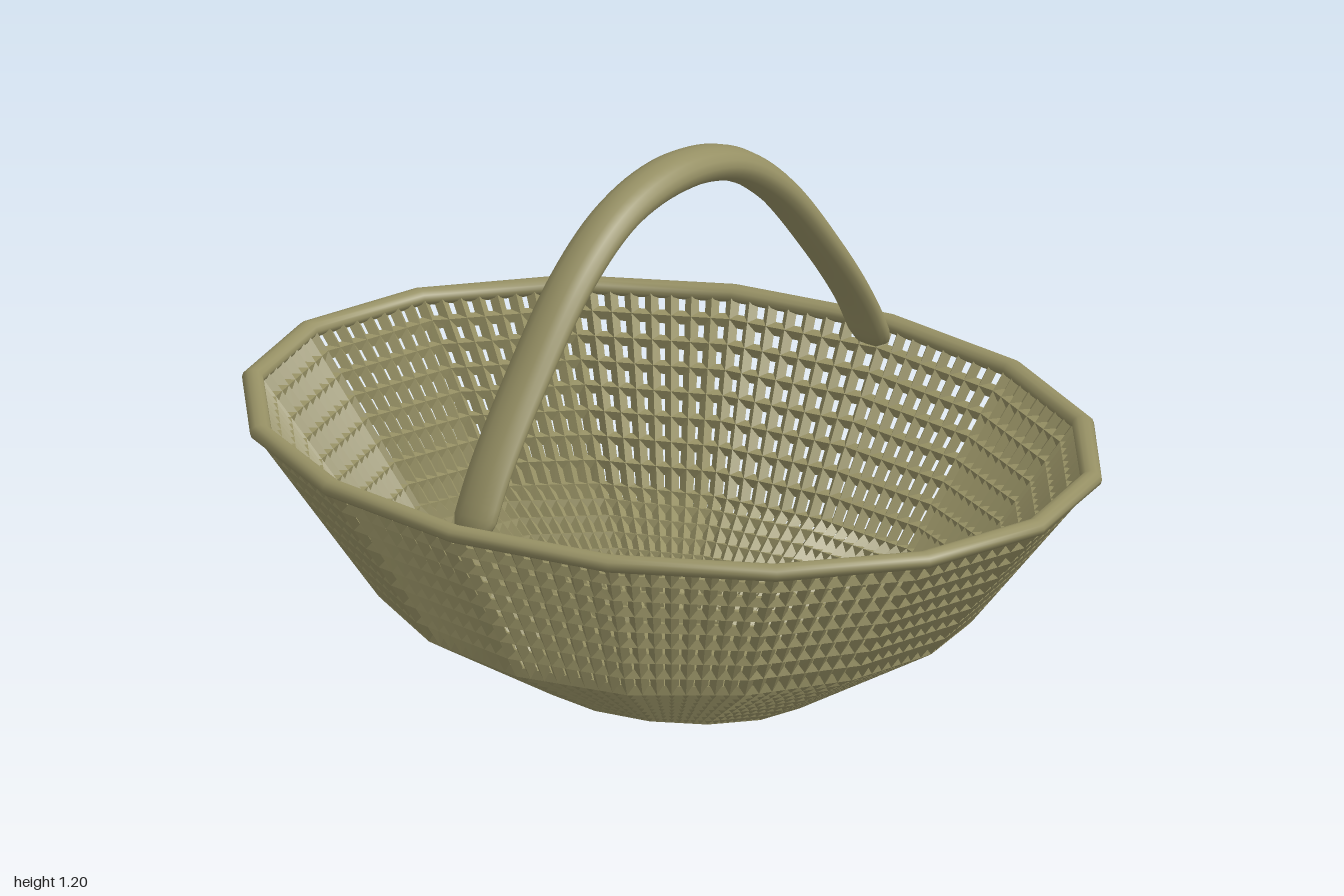
import * as THREE from 'three';
import { mergeGeometries } from 'three/addons/utils/BufferGeometryUtils.js';

const SIDES = 16, PER_SIDE = 8, ROWS = 8; // oval of 16 sides, each woven 8 columns wide
const COLS = SIDES * PER_SIDE;
const V = (x, y, z) => new THREE.Vector3(x, y, z);

// Skin a row of closed cross-sections; closed joins the last one to the first
function loft(sections, closed) {
  const n = sections[0].length, m = sections.length, index = [];
  for (let r = 0; r < (closed ? m : m - 1); r++) {
    for (let s = 0; s < n; s++) {
      const a = r * n + s, b = r * n + (s + 1) % n;
      const c = ((r + 1) % m) * n + (s + 1) % n, d = ((r + 1) % m) * n + s;
      index.push(a, b, c, a, c, d);
    }
  }
  const geometry = new THREE.BufferGeometry().setFromPoints(sections.flat());
  geometry.setIndex(index);
  geometry.computeVertexNormals();
  return geometry;
}

// Wall corner k at one of three levels: base, belly, rim
function corner(level, k) {
  const a = (k / SIDES) * Math.PI * 2;
  const radius = [0.335, 0.685, 0.97][level];
  const y = [0.015, 0.2 + 0.02 * Math.cos(2 * a), 0.565][level];
  return V(radius * Math.cos(a), y, 0.8 * radius * Math.sin(a));
}

// Point of the wall grid at row j, column i
function wallPoint(j, i) {
  const col = (i + COLS) % COLS, k = Math.floor(col / PER_SIDE), f = (col % PER_SIDE) / PER_SIDE;
  const row = THREE.MathUtils.clamp(j, 0, 2 * ROWS), level = row < ROWS ? 0 : 1;
  const low = corner(level, k).lerp(corner(level, k + 1), f);
  const high = corner(level + 1, k).lerp(corner(level + 1, k + 1), f);
  return low.lerp(high, row / ROWS - level);
}

// Diamond section of a strand, running up the wall (rib) or around it
function strandSection(j, i, isRib) {
  const p = wallPoint(j, i);
  const u = wallPoint(j, i + 1).sub(wallPoint(j, i - 1)).normalize();
  const v = wallPoint(j + 1, i).sub(wallPoint(j - 1, i)).normalize();
  const n = v.clone().cross(u).normalize();
  const side = isRib ? u.negate() : v;
  const half = 0.015;
  return [[n, half], [side, half], [n, -half], [side, -half]]
    .map(([dir, d]) => p.clone().addScaledVector(dir, d));
}

function weave() {
  const strands = [];
  for (let i = 0; i < COLS; i++) {
    const rib = [];
    for (let j = 0; j <= 2 * ROWS; j++) rib.push(strandSection(j, i, true));
    strands.push(loft(rib, false));
  }
  for (let j = 0; j <= 2 * ROWS; j++) {
    const ring = [];
    for (let i = 0; i < COLS; i++) ring.push(strandSection(j, i, false));
    strands.push(loft(ring, true));
  }
  return mergeGeometries(strands);
}

// Rounded band around the top edge
function rim() {
  const sections = [];
  for (let k = 0; k < SIDES; k++) {
    const a = (k / SIDES) * Math.PI * 2, section = [];
    for (let s = 0; s < 12; s++) {
      const phi = (s / 12) * Math.PI * 2, out = 0.024 * Math.cos(phi);
      section.push(V((0.976 + out) * Math.cos(a), 0.568 + 0.019 * Math.sin(phi),
        (0.78 + out) * Math.sin(a)));
    }
    sections.push(section);
  }
  return loft(sections, true);
}

// Arched handle, oval in section, thinner towards its rounded ends
function handle() {
  const half = [[0.53, 0.73], [0.66, 0.66], [0.82, 0.54], [1.02, 0.355], [1.122, 0.19]];
  const curve = new THREE.CatmullRomCurve3([
    ...half.map(([y, z]) => V(0, y, z)),
    V(0, 1.155, 0),
    ...half.slice().reverse().map(([y, z]) => V(0, y, -z)),
  ]);
  const sections = [], steps = 72, side = V(1, 0, 0);
  for (let r = 0; r <= steps; r++) {
    const t = r / steps, p = curve.getPointAt(t);
    const normal = side.clone().cross(curve.getTangentAt(t));
    const end = Math.abs(2 * t - 1);
    const cap = Math.sqrt(1 - THREE.MathUtils.clamp((end - 0.94) / 0.06, 0, 0.999) ** 2);
    const thick = THREE.MathUtils.lerp(0.042, 0.025, end) * cap, wide = 0.054 * cap;
    const section = [];
    for (let s = 0; s < 16; s++) {
      const phi = (s / 16) * Math.PI * 2;
      section.push(p.clone().addScaledVector(normal, thick * Math.cos(phi))
        .addScaledVector(side, wide * Math.sin(phi)));
    }
    sections.push(section);
  }
  return loft(sections, false);
}

export function createModel() {
  const group = new THREE.Group();
  group.name = 'basket';
  const color = 0x969064;
  const smooth = new THREE.MeshStandardMaterial({ color });
  const flat = new THREE.MeshStandardMaterial({ color, flatShading: true });
  const add = (name, geometry, material) => {
    const mesh = new THREE.Mesh(geometry, material);
    mesh.name = name;
    group.add(mesh);
  };

  add('wovenWall', weave(), flat);
  add('rim', rim(), smooth);
  add('handle', handle(), smooth);

  // Solid oval floor
  const floor = new THREE.CylinderGeometry(0.335, 0.335, 0.014, SIDES);
  floor.scale(1, 1, 0.8).translate(0, 0.007, 0);
  add('floor', floor, flat);
  return group;
}
